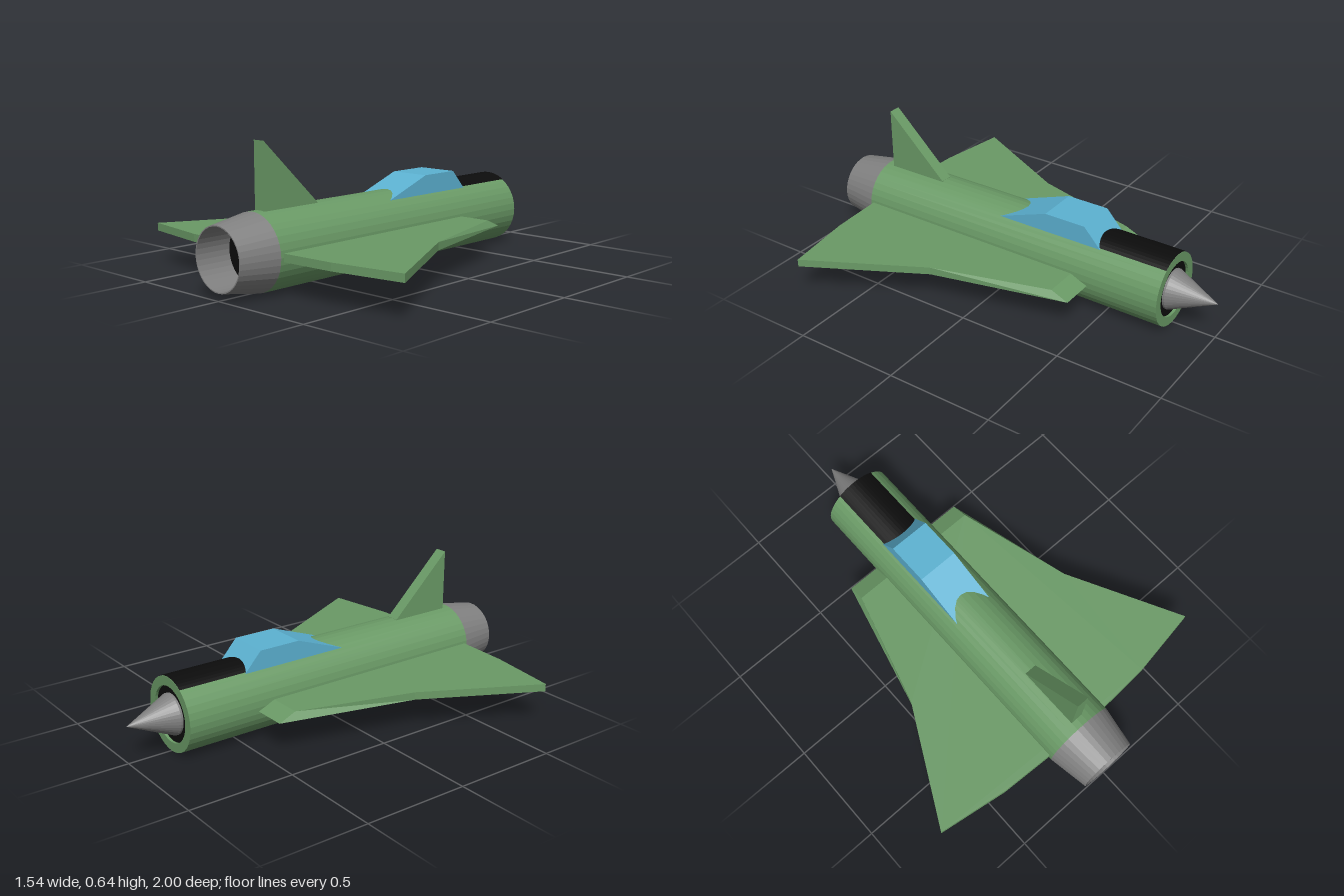
import * as THREE from 'three';

const AXIS_Y = 0.174; // height of the fuselage axis
const R = 0.173;      // fuselage radius
const SIDES = 36;

function material(name, color) {
  const m = new THREE.MeshStandardMaterial({ color, flatShading: true });
  m.name = name;
  return m;
}

export function createModel() {
  const green = material('green paint', 0x6a9a66);
  const grey = material('grey metal', 0x808080);
  const black = material('black', 0x0c0c0c);
  const blue = material('canopy blue', 0x5cb2d2);

  const model = new THREE.Group();
  model.name = 'deltaJet';

  function add(name, geometry, mat) {
    const mesh = new THREE.Mesh(geometry, mat);
    mesh.name = name;
    model.add(mesh);
    return mesh;
  }

  // Surface of revolution around the long axis, from [radius, z] points
  function turned(name, points, mat) {
    const g = new THREE.LatheGeometry(points.map(([r, z]) => new THREE.Vector2(r, z)), SIDES);
    g.rotateX(Math.PI / 2);
    g.translate(0, AXIS_Y, 0);
    return add(name, g, mat);
  }

  // Side profile of [z, y] points, extruded across the width
  function slab(name, points, width, mat) {
    const shape = new THREE.Shape(points.map(([z, y]) => new THREE.Vector2(-z, y)));
    const g = new THREE.ExtrudeGeometry(shape, { depth: width, bevelEnabled: false });
    g.translate(0, 0, -width / 2);
    g.rotateY(Math.PI / 2);
    return add(name, g, mat);
  }

  // Fuselage with the intake lip
  turned('fuselage', [[0.13, -0.77], [0.13, -0.79], [R, -0.79], [R, 0.81]], green);
  turned('intakeDuct', [[0, -0.777], [0.13, -0.777]], black);
  turned('noseCone', [[0, -1], [0.095, -0.787], [0.095, -0.777]], grey);

  // Open exhaust nozzle with a dark end inside
  turned('nozzle', [[R, 0.81], [0.141, 1], [0.136, 1], [0.136, 0.82]], grey);
  turned('exhaust', [[0.137, 0.825], [0, 0.825]], black);

  // Dark panel wrapped over the nose in front of the canopy
  const half = Math.asin(0.095 / R);
  const panel = new THREE.CylinderGeometry(R + 0.002, R + 0.002, 0.36, 12, 1, true, -half, 2 * half);
  panel.rotateX(-Math.PI / 2);
  panel.translate(0, AXIS_Y, -0.61);
  add('nosePanel', panel, black);

  // Canopy and tail fin
  slab('canopy', [[0.075, 0.314], [-0.175, 0.405], [-0.38, 0.405], [-0.463, 0.314]], 0.2, blue);
  slab('tailFin', [[0.77, 0.32], [0.77, 0.64], [0.465, 0.347], [0.465, 0.32]], 0.06, green);

  // Delta wing through the fuselage, with a sloped leading edge
  const side = [[0.33, -0.443], [0.485, 0.19], [0.77, 0.73], [0.43, 0.782], [0.17, 0.795]];
  const outline = [...side, ...side.map(([x, z]) => [-x, z]).reverse()];
  const wing = new THREE.ExtrudeGeometry(
    new THREE.Shape(outline.map(([x, z]) => new THREE.Vector2(x, z))),
    { depth: 0.036, bevelEnabled: false }
  );
  wing.rotateX(Math.PI / 2);
  wing.translate(0, 0.192, 0);
  const p = wing.attributes.position;
  for (let i = 0; i < p.count; i++) {
    if (p.getY(i) > 0.17 && p.getZ(i) < -0.4) p.setZ(i, -0.36);
  }
  wing.computeVertexNormals();
  add('wings', wing, green);

  return model;
}
